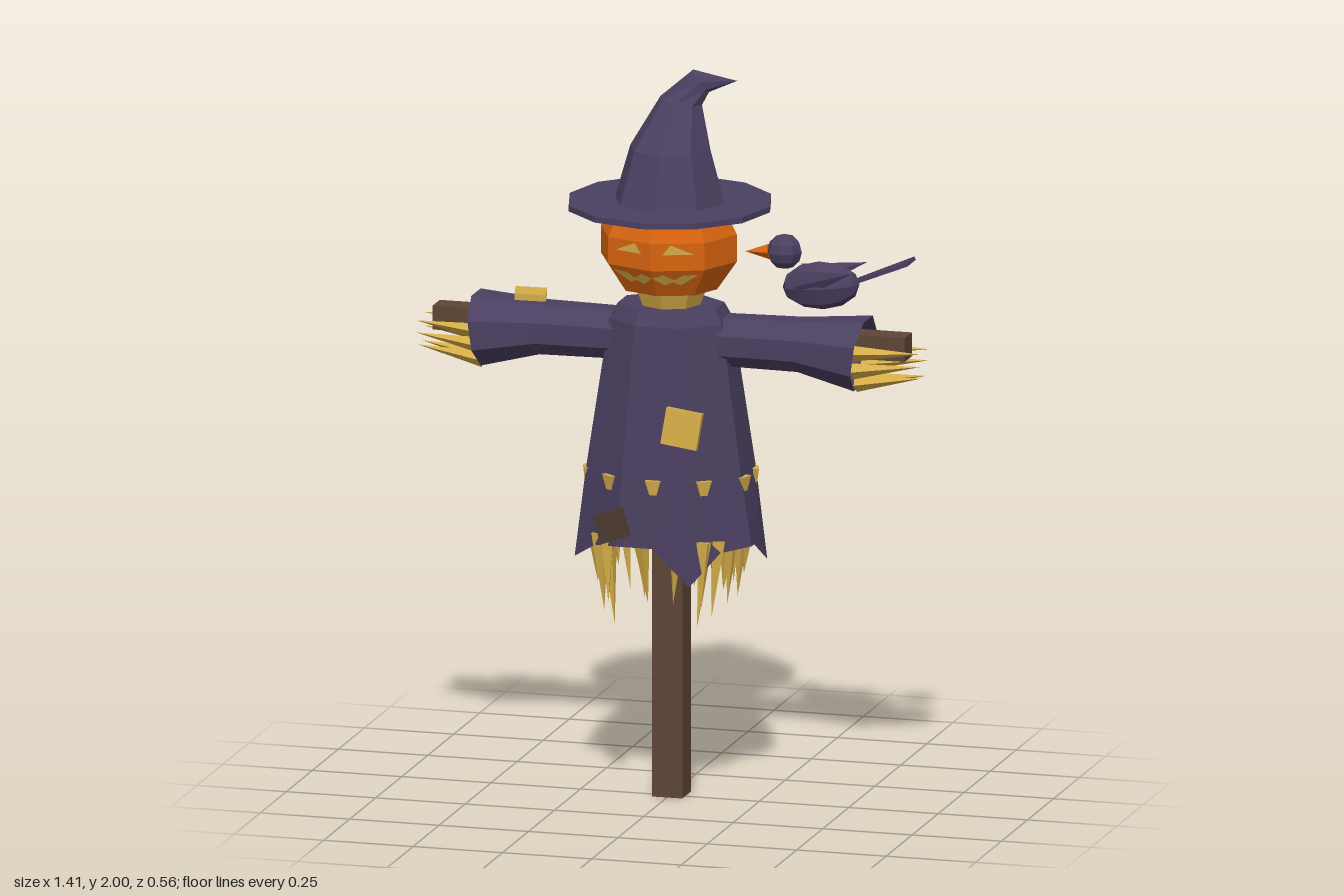
import * as THREE from 'three';

const PURPLE = 0x4a3f60, ORANGE = 0xd8640f, STRAW = 0xd4ac48, WOOD = 0x5e4536, DARKWOOD = 0x4c3a30;
const mats = {};
const mat = (color) => mats[color] ??= new THREE.MeshStandardMaterial({ color, flatShading: true, side: THREE.DoubleSide });
const V = (x, y, z) => new THREE.Vector3(x, y, z);

function add(parent, name, geo, color, pos = [0, 0, 0], rot = [0, 0, 0]) {
  const m = new THREE.Mesh(geo, mat(color));
  m.name = name;
  m.position.set(...pos);
  m.rotation.set(...rot);
  parent.add(m);
  return m;
}

// Skin over rings of points, listed bottom to top
function skin(rings) {
  const p = [], n = rings[0].length;
  for (let k = 0; k + 1 < rings.length; k++) {
    for (let i = 0; i < n; i++) {
      const j = (i + 1) % n, a = rings[k], b = rings[k + 1];
      for (const v of [a[i], a[j], b[j], a[i], b[j], b[i]]) p.push(v.x, v.y, v.z);
    }
  }
  const g = new THREE.BufferGeometry();
  g.setAttribute('position', new THREE.Float32BufferAttribute(p, 3));
  g.computeVertexNormals();
  return g;
}

// Regular ring; tilt lowers the +x side
function ring(n, turn, cx, cy, cz, rx, rz, tilt = 0) {
  return Array.from({ length: n }, (_, i) => {
    const a = turn + i * 2 * Math.PI / n, s = Math.sin(a);
    return V(cx + rx * s, cy - tilt * rx * s, cz + rz * Math.cos(a));
  });
}

// Pointed straw from base a to tip b
function spike(parent, name, a, b, r, color = STRAW, sides = 4) {
  const d = b.clone().sub(a), g = new THREE.ConeGeometry(r, d.length(), sides);
  g.translate(0, d.length() / 2, 0);
  const m = add(parent, name, g, color, a.toArray());
  m.quaternion.setFromUnitVectors(V(0, 1, 0), d.normalize());
  return m;
}

function buildHat(g) {
  add(g, 'hatBrim', new THREE.CylinderGeometry(0.28, 0.28, 0.016, 12), PURPLE, [0, 1.638, 0]);
  add(g, 'hatCone', skin([
    ring(8, 0, 0, 1.64, 0, 0.155, 0.155),
    ring(8, 0, 0, 1.79, -0.005, 0.112, 0.108),
    ring(8, 0, 0.023, 1.915, -0.03, 0.058, 0.05, 0.15),
    ring(8, 0, 0.075, 1.97, -0.042, 0.022, 0.024, 1.35),
    ring(8, 0, 0.172, 1.974, -0.053, 0.001, 0.001),
  ]), PURPLE);
}

function buildHead(g) {
  const profile = [[1.41, 0.135], [1.49, 0.19], [1.565, 0.19], [1.635, 0.155]];
  const cz = 0.01, sz = 0.9;
  const bands = profile.map(([y, r]) => ring(8, 0, 0, y, cz, r, r * sz));
  add(g, 'pumpkinHead', skin([ring(8, 0, 0, 1.405, cz, 0.001, 0.001), ...bands]), ORANGE);

  // Carved features lie just proud of the pumpkin's front facets
  const radius = (y) => y > 1.49 ? 0.19 : 0.135 + (y - 1.41) / 0.08 * 0.055;
  const feature = (name, pts) => {
    const geo = new THREE.ShapeGeometry(new THREE.Shape(pts.map(([x, y]) => new THREE.Vector2(x, y))));
    const p = geo.attributes.position;
    for (let i = 0; i < p.count; i++) {
      p.setZ(i, cz + sz * (radius(p.getY(i)) - 0.414 * Math.abs(p.getX(i))) + 0.005);
    }
    geo.computeVertexNormals();
    add(g, name, geo, STRAW);
  };
  for (const s of [1, -1]) {
    const side = s > 0 ? 'left' : 'right';
    feature(side + 'Eye', [[0.03 * s, 1.535], [0.11 * s, 1.535], [0.05 * s, 1.562]]);
    feature(side + 'Mouth', [[0, 1.468], [0.03 * s, 1.478], [0.055 * s, 1.462], [0.08 * s, 1.476],
      [0.12 * s, 1.478], [0.07 * s, 1.445], [0.05 * s, 1.455], [0.03 * s, 1.445]]);
  }
  add(g, 'strawNeck', new THREE.CylinderGeometry(0.108, 0.078, 0.08, 8), STRAW, [0, 1.385, -0.005]);
}

function buildRobe(g) {
  const cz = -0.01, T = Math.PI / 8;
  // Octagon with a point at the middle of every side, so the hem can zigzag
  const octagon = (y, rx, rz) => {
    const c = ring(8, T, 0, y, cz, rx, rz);
    return c.flatMap((v, i) => [v, v.clone().lerp(c[(i + 1) % 8], 0.5)]);
  };
  const hem = octagon(0.72, 0.268, 0.195);
  const drop = [0.1, 0, 0.07, 0.01, 0.09, 0.02, 0.06, 0];
  hem.forEach((v, i) => { v.y -= i % 2 ? 0.012 * (i % 3) : drop[i / 2]; });
  add(g, 'robe', skin([
    hem, octagon(0.9, 0.236, 0.182), octagon(1.32, 0.17, 0.138), octagon(1.36, 0.148, 0.115), octagon(1.362, 0.05, 0.05),
  ]), PURPLE);

  // Little straw tufts poking through the robe
  for (let i = 0; i < 10; i++) {
    const a = i * Math.PI / 5;
    const off = ((a + T) % (2 * T)) - T;
    const r = Math.cos(T) / Math.cos(off) + 0.012;
    const t = new THREE.CylinderGeometry(0.03, 0.014, 0.04, 4);
    t.rotateY(Math.PI / 4).scale(1, 1, 0.4);
    add(g, 'robeTuft', t, STRAW, [Math.sin(a) * r * 0.236, 0.887, cz + Math.cos(a) * r * 0.182], [0, a, 0]);
  }

  // Straw hanging below the hem in four clumps, with a few strands between
  for (const sx of [1, -1]) for (const sz of [1, -1]) {
    [[0.115, 0.145, 0.5], [0.15, 0.125, 0.53], [0.175, 0.1, 0.6], [0.13, 0.155, 0.56]].forEach(([x, z, y], i) => {
      spike(g, 'hemStraw', V(sx * (x + 0.02 - 0.005 * i), 0.74, cz + sz * (z - 0.01)), V(sx * x, y, cz + sz * z), 0.024);
    });
    spike(g, 'hemStraw', V(sx * 0.05, 0.74, cz + sz * 0.12), V(sx * 0.035, 0.55, cz + sz * 0.1), 0.024);
  }

  // Sewn patches
  add(g, 'chestPatch', new THREE.BoxGeometry(0.1, 0.1, 0.022), STRAW, [0.085, 1.06, 0.175], [-0.1, 0.05, -0.14]);
  add(g, 'hemPatch', new THREE.BoxGeometry(0.085, 0.08, 0.022), DARKWOOD, [-0.11, 0.78, 0.183], [-0.05, -0.2, 0.35]);
  add(g, 'sleevePatch', new THREE.BoxGeometry(0.085, 0.018, 0.085), STRAW, [-0.395, 1.354, -0.02], [0, 0.25, -0.05]);
}

function buildArm(g, name, turn) {
  const arm = new THREE.Group();
  arm.name = name;
  arm.position.z = -0.02;
  arm.rotation.y = turn;
  g.add(arm);
  const T = Math.PI / 8;
  const sleeve = skin([
    ring(8, T, -1.265, 0.08, 0, 0.07, 0.085),
    ring(8, T, -1.266, 0.36, 0, 0.074, 0.09),
    ring(8, T, -1.253, 0.535, 0, 0.103, 0.118, 0.14),
  ]).rotateZ(-Math.PI / 2);
  add(arm, 'sleeve', sleeve, PURPLE);
  // Straw fingers: y and z at the cuff, then at the tip
  for (const [y, z, ty, tz] of [
    [1.265, 0.06, 1.272, 0.045], [1.255, -0.06, 1.268, -0.035], [1.215, 0.055, 1.236, 0.04],
    [1.215, -0.05, 1.236, -0.04], [1.172, 0.02, 1.2, 0.02], [1.172, -0.03, 1.198, -0.02],
  ]) spike(arm, 'strawFinger', V(0.52, y, z), V(0.705, ty, tz), 0.022);
}

function buildBird(g) {
  const bird = new THREE.Group();
  bird.name = 'bird';
  bird.position.z = -0.02;
  g.add(bird);
  add(bird, 'birdBody', new THREE.SphereGeometry(1, 8, 6).rotateZ(Math.PI / 2).scale(0.108, 0.066, 0.056),
    PURPLE, [0.417, 1.433, 0], [0, 0, 0.1]);
  add(bird, 'birdHead', new THREE.SphereGeometry(0.048, 8, 6), PURPLE, [0.315, 1.52, 0]);
  spike(bird, 'beak', V(0.272, 1.518, 0), V(0.205, 1.513, 0), 0.022, ORANGE, 5);
  // Flared, flat tail
  const tail = new THREE.BoxGeometry(0.17, 0.01, 0.04);
  const p = tail.attributes.position;
  for (let i = 0; i < p.count; i++) if (p.getX(i) > 0) p.setZ(i, p.getZ(i) * 2);
  add(bird, 'tail', tail, PURPLE, [0.59, 1.483, 0], [0, 0, 0.4]);
  // Folded pointed wings
  for (const s of [1, -1]) {
    const w = spike(bird, s > 0 ? 'rightWing' : 'leftWing', V(0.36, 1.44, s * 0.042), V(0.525, 1.488, s * 0.07), 0.04, PURPLE);
    w.scale.z = 0.35;
  }
}

export function createModel() {
  const g = new THREE.Group();
  g.name = 'scarecrow';
  add(g, 'post', new THREE.BoxGeometry(0.085, 1.38, 0.085), WOOD, [0, 0.69, -0.015]);
  add(g, 'crossbar', new THREE.BoxGeometry(1.32, 0.066, 0.068), WOOD, [0, 1.278, -0.022]);
  buildHat(g);
  buildHead(g);
  buildRobe(g);
  buildArm(g, 'leftArm', 0);
  buildArm(g, 'rightArm', Math.PI);
  buildBird(g);
  return g;
}
